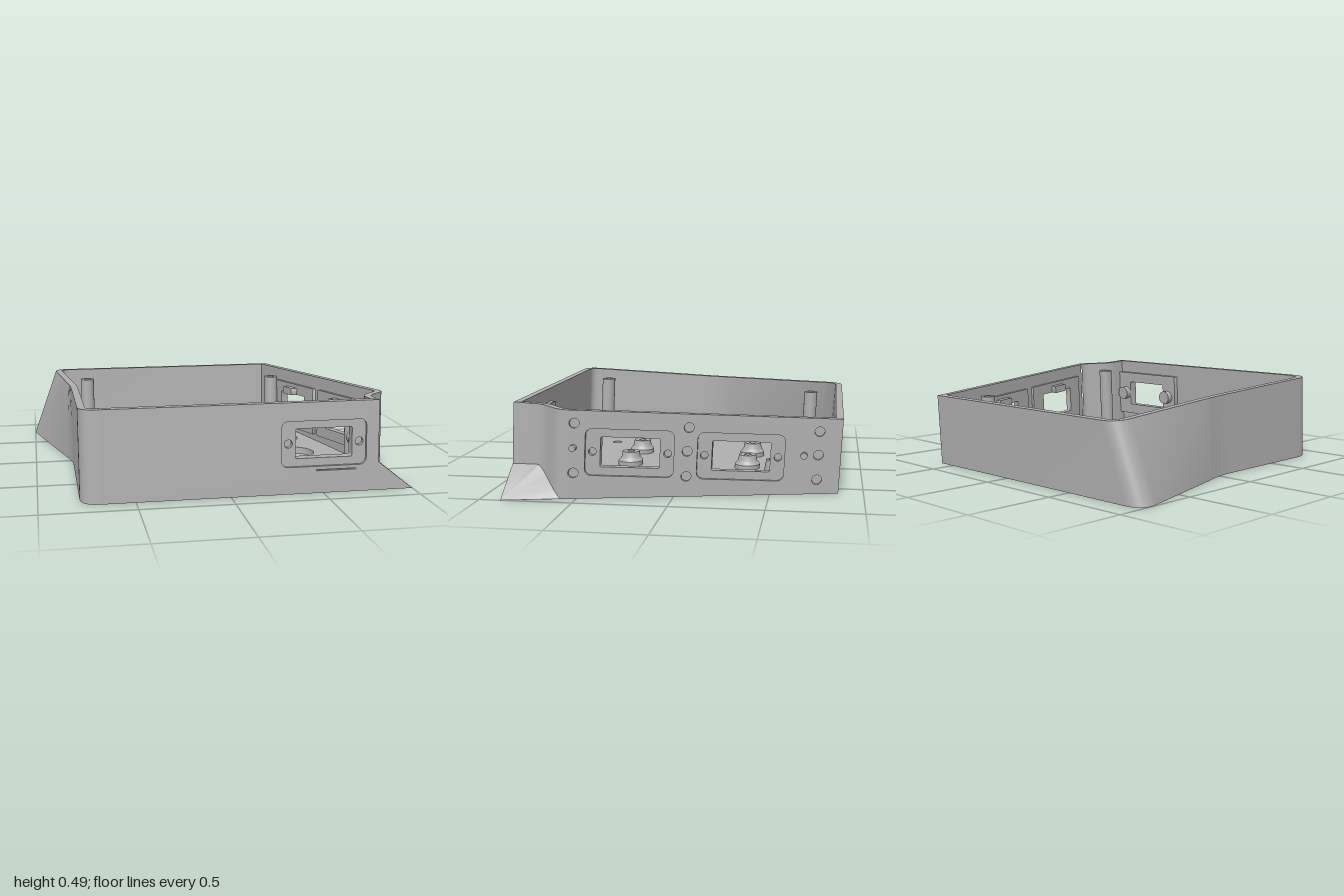
import * as THREE from 'three';
import { toCreasedNormals } from 'three/addons/utils/BufferGeometryUtils.js';

const TILT = 0.0486; // lean of the walls and slope of the rim
const WALL = 0.04;
const rimY = z => 0.448 + TILT * z;
const rightX = z => 1 + (z - 0.885) * 0.2257; // line of the slanting right wall

export function createModel() {
  const model = new THREE.Group();
  const grey = new THREE.MeshStandardMaterial({ color: 0xb0b0b0 });
  grey.name = 'grey plastic';

  // Move vertices by a rule
  const warp = (geo, rule) => {
    const p = geo.attributes.position;
    for (let i = 0; i < p.count; i++) p.setXYZ(i, ...rule(p.getX(i), p.getY(i), p.getZ(i)));
    return geo;
  };
  // Lean a part with the shell and add it
  const add = (name, geo) => {
    warp(geo, (x, y, z) => [x, y, z - TILT * y]);
    const mesh = new THREE.Mesh(toCreasedNormals(geo, 0.55), grey);
    mesh.name = name;
    model.add(mesh);
  };
  const fromTriangles = tris => {
    const geo = new THREE.BufferGeometry();
    geo.setAttribute('position', new THREE.Float32BufferAttribute(tris.flat(2), 3));
    return geo;
  };
  const extrude = (shape, depth) =>
    new THREE.ExtrudeGeometry(shape, { depth, bevelEnabled: false, curveSegments: 20 });
  const circle = (x, y, r) => new THREE.Path().absarc(x, y, r, 0, Math.PI * 2);
  const roundRect = (cx, cy, w, h, r, skew = 0, Type = THREE.Path) => {
    const pts = [];
    [[1, 1], [-1, 1], [-1, -1], [1, -1]].forEach(([sx, sy], k) => {
      for (let i = 0; i <= 5; i++) {
        const a = (k + i / 5) * Math.PI / 2;
        const x = sx * (w / 2 - r) + r * Math.cos(a);
        pts.push(new THREE.Vector2(cx + x, cy + sy * (h / 2 - r) + r * Math.sin(a) + skew * x));
      }
    });
    return new Type(pts);
  };

  // Inward offset of an outline in (x, z)
  const offset = (pts, d) => pts.map((p, i) => {
    const n = (a, b) => new THREE.Vector2(a.y - b.y, b.x - a.x).normalize();
    const n1 = i > 0 ? n(pts[i - 1], p) : n(p, pts[1]);
    const n2 = i < pts.length - 1 ? n(p, pts[i + 1]) : n1;
    const m = n1.clone().add(n2).normalize();
    return m.multiplyScalar(d / Math.max(0.5, m.dot(n1))).add(p);
  });
  // Wall with thickness between a bottom and a top outline
  const wall = (bottom, top) => {
    const ib = offset(bottom, WALL), it = offset(top, WALL);
    const rings = bottom.map((b, i) => [
      [b.x, 0, b.y], [top[i].x, rimY(top[i].y), top[i].y],
      [it[i].x, rimY(it[i].y), it[i].y], [ib[i].x, 0, ib[i].y]]);
    const tris = [];
    for (let i = 0; i + 1 < rings.length; i++) {
      for (let j = 0; j < 4; j++) {
        const A = rings[i], B = rings[i + 1], k = (j + 1) % 4;
        tris.push(B[j], A[j], A[k], B[j], A[k], B[k]);
      }
    }
    return fromTriangles(tris);
  };

  // Left and back walls: upright at the front, flaring out at the rear corner
  const leftOutline = (bendX, bendZ, cx, cz, sx, sz, ex) => new THREE.Path()
    .moveTo(-0.68, 0.885).quadraticCurveTo(-0.785, 0.885, -0.785, 0.78)
    .lineTo(-0.785, 0.09).quadraticCurveTo(-0.785, 0, bendX, bendZ)
    .lineTo(sx, sz).quadraticCurveTo(cx, cz, ex, -0.865)
    .lineTo(0.605, -0.865).getPoints(10);
  const base = leftOutline(-0.82, -0.1, -1.025, -0.862, -0.993, -0.75, -0.9);
  const rim = leftOutline(-0.793, -0.1, -0.86, -0.865, -0.85, -0.75, -0.76);
  add('leftAndBackWall', wall(base, rim));

  // Concave front right corner wall
  const corner = new THREE.Path().moveTo(rightX(0.55), 0.55)
    .quadraticCurveTo(rightX(0.59), 0.59, 0.9, 0.63)
    .lineTo(0.85, 0.68).quadraticCurveTo(0.805, 0.72, 0.805, 0.78)
    .lineTo(0.805, 0.885).getPoints(10);
  add('cornerWall', wall(corner, corner));

  // Pointed foot filling the corner
  const tip = [1, 0, 0.885];
  const footY = z => 0.155 * THREE.MathUtils.clamp((z - 0.585) / 0.15, 0, 1);
  const foot = [[0.805, 0, 0.885], tip, [0.805, 0.155, 0.885]];
  for (let i = 0; i + 1 < corner.length; i++) {
    const a = corner[i], b = corner[i + 1];
    foot.push(tip, [a.x, footY(a.y), a.y], [b.x, footY(b.y), b.y]);
    foot.push(tip, [b.x, 0, b.y], [a.x, 0, a.y]);
  }
  add('cornerFoot', fromTriangles(foot));

  // Floor in two layers, the upper one with shallow dimples
  const floorPts = [...offset(base, 0.015), ...offset(corner, 0.015)]
    .map(p => new THREE.Vector2(p.x, -p.y));
  const openings = [[0.05, 0, 0.105], [0.53, -0.185, 0.12], [0.53, 0.182, 0.12]];
  const dimples = [[-0.5, -0.52], [0.47, -0.565], [-0.67, 0.03], [-0.42, 0.58], [0.725, 0.37], [0.6, 0.625]];
  const floorLayer = (name, y, depth, holes) => {
    const s = new THREE.Shape(floorPts);
    holes.forEach(([x, z, r = 0.028]) => s.holes.push(circle(x, -z, r)));
    add(name, extrude(s, depth).rotateX(-Math.PI / 2).translate(0, y, 0));
  };
  floorLayer('floor', 0, 0.03, openings);
  floorLayer('floorTop', 0.03, 0.01, [...openings, ...dimples]);

  // Front wall: recessed window with two screw holes, and a pad with pegs inside
  const frontLayer = (name, shape, z, depth, holes) => {
    shape.holes.push(...holes);
    add(name, extrude(shape, depth).translate(0, 0, z));
  };
  const frontShape = () => new THREE.Shape([[-0.68, 0], [0.805, 0], [0.805, rimY(0.885)], [-0.68, rimY(0.885)]]
    .map(p => new THREE.Vector2(...p)));
  const frontWindow = () => roundRect(0.505, 0.268, 0.31, 0.16, 0.008);
  const frontScrews = [0.31, 0.7];
  frontLayer('frontWall', frontShape(), 0.87, 0.015,
    [roundRect(0.503, 0.268, 0.465, 0.245, 0.035), roundRect(0.57, 0.124, 0.22, 0.006, 0.002)]);
  frontLayer('frontWallInner', frontShape(), 0.845, 0.025,
    [frontWindow(), ...frontScrews.map(x => circle(x, 0.268, 0.022))]);
  frontLayer('frontPad', roundRect(0.503, 0.268, 0.52, 0.29, 0.006, 0, THREE.Shape), 0.815, 0.03, [frontWindow()]);
  frontScrews.forEach(x =>
    add('frontPeg', new THREE.CylinderGeometry(0.042, 0.042, 0.04, 24).rotateX(Math.PI / 2).translate(x, 0.268, 0.797)));

  // Right wall: drawn in (z, y), turned and slanted into place
  const rightLayer = (name, shape, inset, depth, holes) => {
    shape.holes.push(...holes);
    const geo = extrude(shape, depth).rotateY(-Math.PI / 2);
    add(name, warp(geo, (x, y, z) => [x - inset + rightX(z), y, z]));
  };
  const rightShape = () => new THREE.Shape([[-0.865, 0], [0.55, 0], [0.55, rimY(0.55)], [-0.865, rimY(-0.865)]]
    .map(p => new THREE.Vector2(...p)));
  const ports = [[0.235, 0.24], [-0.34, 0.21]];
  const portWindow = ([z, y]) => roundRect(z, y, 0.305, 0.16, 0.008, TILT);
  const magnets = [[0.53, 0.405], [0.525, 0.14], [-0.065, 0.372], [-0.06, 0.245], [-0.06, 0.11],
    [-0.745, 0.34], [-0.745, 0.213], [-0.745, 0.078]].map(([z, y]) => [Math.min(z, 0.52), y]);
  rightLayer('rightWall', rightShape(), 0, 0.015, [
    ...ports.map(([z, y]) => roundRect(z, y, 0.455, 0.25, 0.035, TILT)),
    ...magnets.map(([z, y]) => circle(z, y, 0.026))]);
  rightLayer('rightWallInner', rightShape(), 0.015, 0.025, [
    ...ports.map(portWindow),
    ...ports.flatMap(([z, y]) => [-0.193, 0.193].map(d => circle(z + d, y + d * TILT, 0.02)))]);
  ports.forEach(([z, y]) => {
    rightLayer('portPad', roundRect(z, y, 0.52, 0.29, 0.006, TILT, THREE.Shape), 0.04, 0.018, [portWindow([z, y])]);
    rightLayer('portTab', roundRect(z, y + 0.1, 0.11, 0.045, 0.004, TILT, THREE.Shape), 0.03, 0.065, []);
  });
  [[0.522, 0.275], [-0.67, 0.213]].forEach(([z, y]) =>
    add('locatingPin', new THREE.CylinderGeometry(0.018, 0.018, 0.04, 20).rotateZ(Math.PI / 2)
      .translate(rightX(z) + 0.005, y, z)));

  // Hollow posts and bosses, turned from a profile
  const turned = (name, spots, profile) => spots.forEach(([x, z, top = 0]) => {
    const pts = profile(top).map(p => new THREE.Vector2(...p));
    add(name, new THREE.LatheGeometry(pts, 28).translate(x, 0, z));
  });
  turned('cornerPost', [[-0.65, -0.665, 0.37], [0.565, -0.53, 0.375], [-0.63, 0.7, 0.435], [0.735, 0.645, 0.435]],
    t => [[0.042, 0.035], [0.042, t], [0.021, t], [0.021, t - 0.08], [0, t - 0.08]]);
  turned('smallBoss', [-0.29, 0.385].flatMap(x => [[x, -0.745], [x, -0.495]]),
    () => [[0.052, 0.035], [0.04, 0.12], [0.04, 0.13], [0.024, 0.13], [0.024, 0.05], [0, 0.05]]);
  turned('largeBoss', [-0.13, 0.22].flatMap(x => [[x, -0.338], [x, 0.355]]),
    () => [[0.073, 0.035], [0.073, 0.065], [0.056, 0.085], [0.05, 0.12], [0.02, 0.12], [0.02, 0.05], [0, 0.05]]);

  return model;
}
